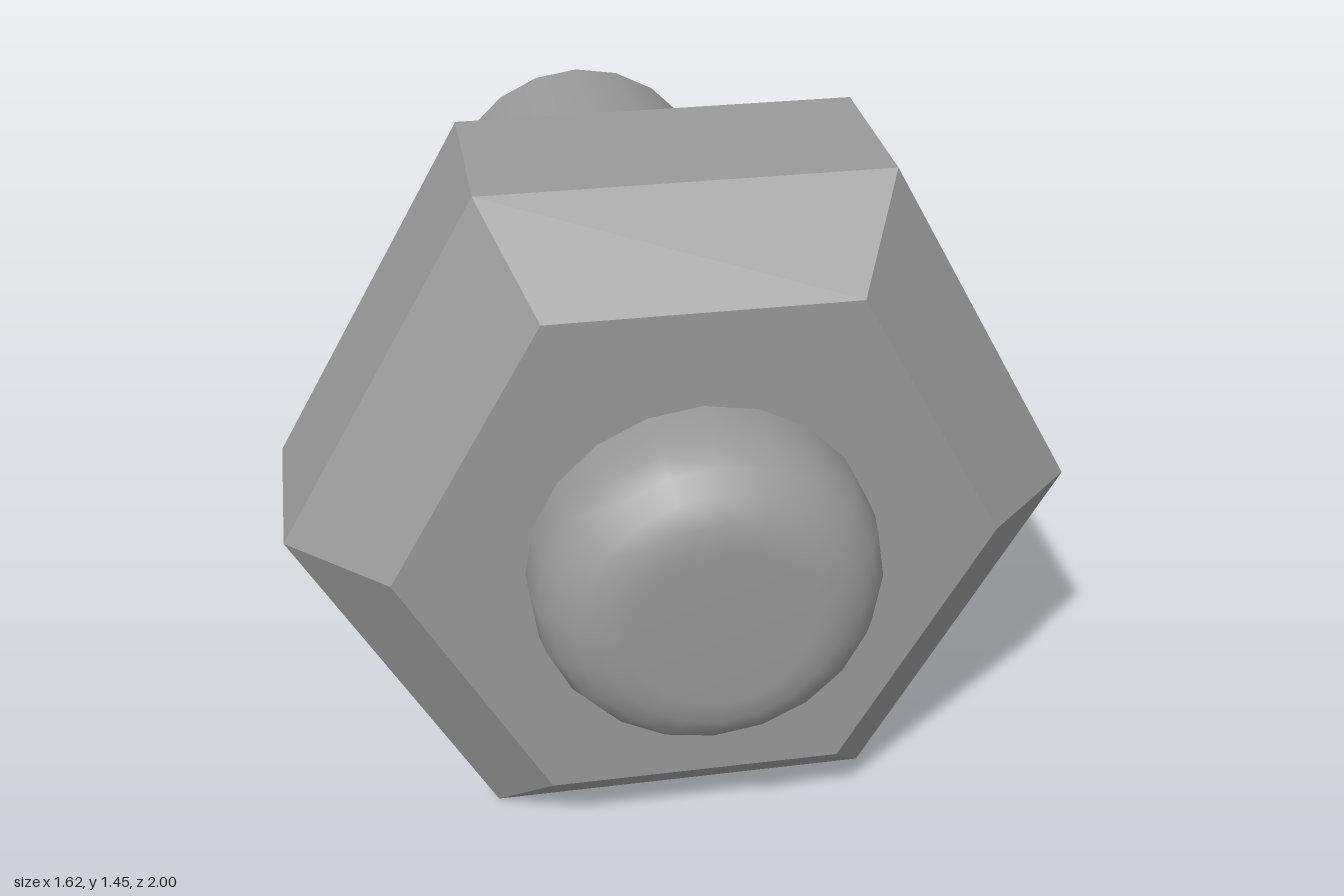
import * as THREE from 'three';

// Turn a [radius, z] profile around the z axis
function turned(profile, sides) {
  const points = profile.map(([r, z]) => new THREE.Vector2(r, z));
  return new THREE.LatheGeometry(points, sides, Math.PI / 2).rotateX(Math.PI / 2);
}

export function createModel() {
  const model = new THREE.Group();
  const steel = new THREE.MeshStandardMaterial({ color: 0x999999 });
  const facetedSteel = steel.clone();
  facetedSteel.flatShading = true;
  steel.name = 'steel';
  facetedSteel.name = 'steel';

  const add = (name, geometry, material) => {
    const mesh = new THREE.Mesh(geometry, material);
    mesh.name = name;
    model.add(mesh);
    return mesh;
  };
  const axisY = 0.7275;

  // Six-sided nut, chamfered on both faces and slightly taller than regular
  const nut = turned(
    [[0, 0.045], [0.608, 0.045], [0.81, 0.225], [0.81, 0.585], [0.608, 0.765], [0, 0.765]], 6);
  nut.scale(1, 0.7275 / (0.81 * Math.sin(Math.PI / 3)), 1);
  add('nut', nut, facetedSteel).position.y = axisY;

  // Shaft with a flat back end
  const radius = 0.347;
  const shaft = new THREE.CylinderGeometry(radius, radius, 1.8, 20).rotateX(Math.PI / 2);
  add('shaft', shaft, steel).position.set(0, axisY, -0.1);

  // Rounded front tip
  const round = 0.17;
  const profile = [[radius, 0.77]];
  for (let i = 0; i <= 5; i++) {
    const a = (i / 5) * Math.PI / 2;
    profile.push([radius - round + round * Math.cos(a), 1 - round + round * Math.sin(a)]);
  }
  profile.push([0, 1]);
  add('roundedTip', turned(profile, 20), steel).position.y = axisY;

  // Keep the shaft's end hidden inside the tip
  const shaftMesh = model.getObjectByName('shaft');
  shaftMesh.scale.z = 1.77 / 1.8;
  shaftMesh.position.z = -0.115;

  return model;
}
